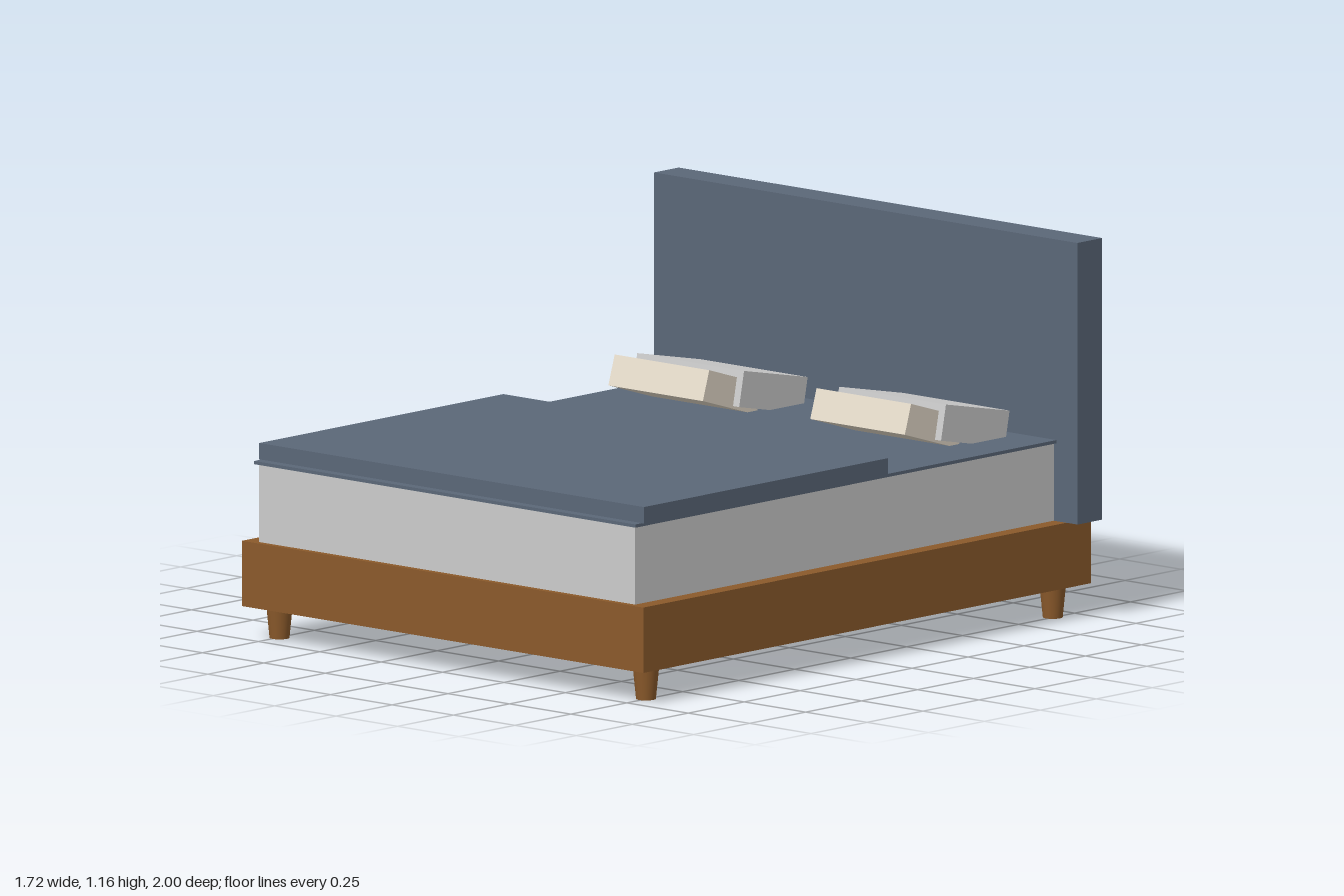
import * as THREE from 'three';

const material = (color) => new THREE.MeshStandardMaterial({ color });

export function createModel() {
  const bed = new THREE.Group();
  bed.name = 'bed';
  const wood = material(0x8b5a2b);
  const fabric = material(0x5b6878);
  const linen = material(0xcccccc);
  const cream = material(0xe6dccb);

  const add = (name, geometry, mat, x, y, z) => {
    const mesh = new THREE.Mesh(geometry, mat);
    mesh.name = name;
    mesh.position.set(x, y, z);
    bed.add(mesh);
    return mesh;
  };

  // Box centred on x, given by its half width and its y and z ranges
  const slab = (name, mat, halfWidth, y0, y1, z0, z1) =>
    add(name, new THREE.BoxGeometry(halfWidth * 2, y1 - y0, z1 - z0), mat, 0, (y0 + y1) / 2, (z0 + z1) / 2);

  // Base, bedding and headboard
  slab('frame', wood, 0.817, 0.1, 0.3, -1, 1);
  slab('mattress', linen, 0.766, 0.3, 0.54, -0.89, 0.98);
  slab('sheet', fabric, 0.776, 0.538, 0.548, -0.89, 0.99);
  slab('duvet', fabric, 0.783, 0.547, 0.598, -0.13, 0.96);
  slab('headboard', fabric, 0.862, 0.3, 1.162, -1, -0.89);

  // Tapered legs and tilted pillows, mirrored left and right
  const legShape = new THREE.CylinderGeometry(0.04, 0.03, 0.1, 16);
  const pillowShape = new THREE.BoxGeometry(0.435, 0.11, 0.29);
  const cushionShape = new THREE.BoxGeometry(0.385, 0.095, 0.25);
  for (const side of [-1, 1]) {
    const label = side > 0 ? 'left' : 'right';
    add(label + 'FrontLeg', legShape, wood, side * 0.746, 0.05, 0.91);
    add(label + 'BackLeg', legShape, wood, side * 0.746, 0.05, -0.907);
    add(label + 'Pillow', pillowShape, linen, side * 0.411, 0.601, -0.69).rotation.x = -0.2;
    add(label + 'Cushion', cushionShape, cream, side * 0.411, 0.618, -0.536).rotation.x = -0.3;
  }
  return bed;
}
